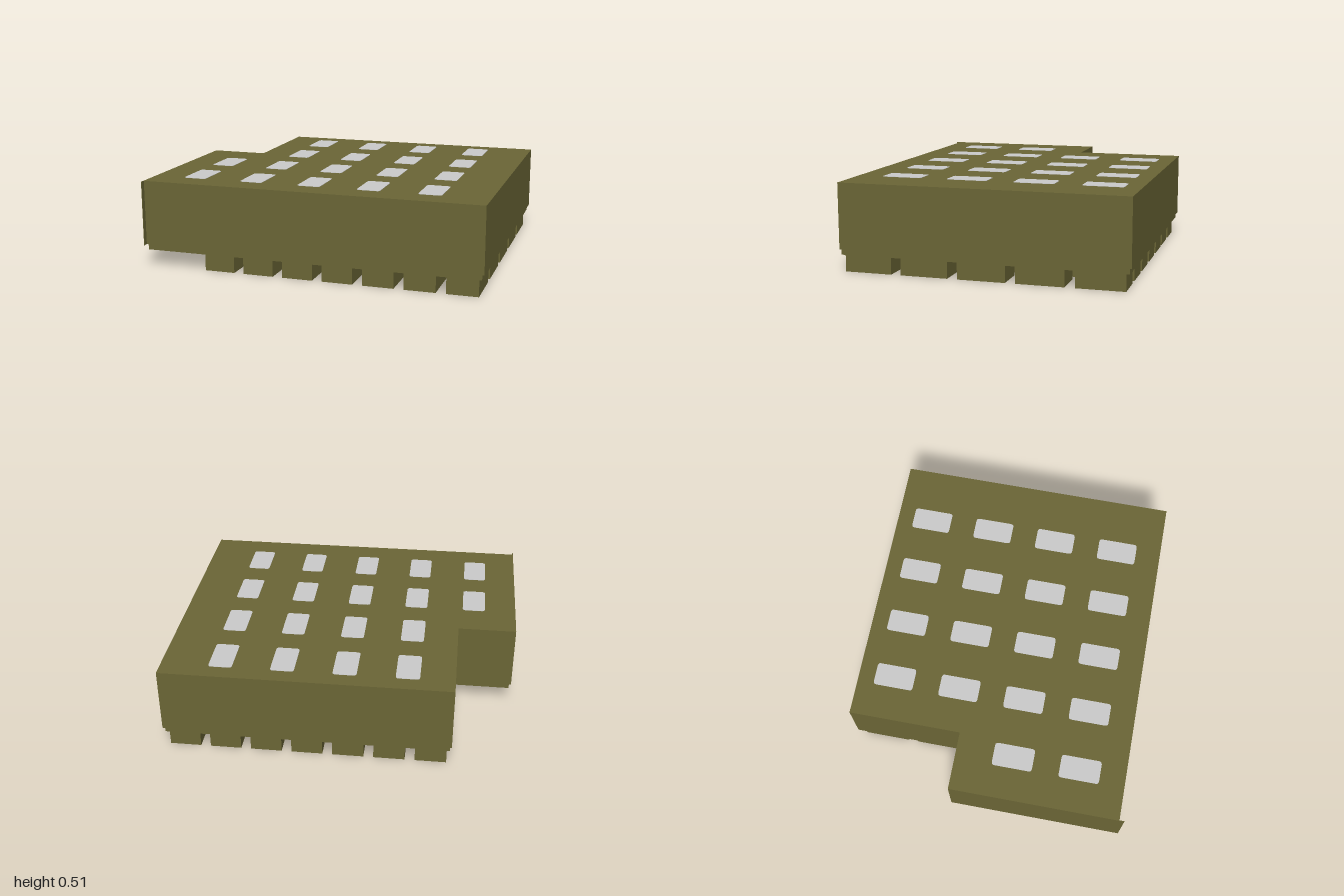
import * as THREE from 'three';

export function createModel() {
  const group = new THREE.Group();
  const material = (name, color) => Object.assign(new THREE.MeshStandardMaterial({ color }), { name });
  const olive = material('olive', 0x6b6636);
  const grey = material('light grey', 0xcccccc);
  const black = material('black', 0x080808);

  const add = (name, geometry, mat, x, y, z) => {
    const mesh = new THREE.Mesh(geometry, mat);
    mesh.name = name;
    mesh.position.set(x, y, z);
    group.add(mesh);
    return mesh;
  };

  // Lay an outline drawn in x and -z flat, with its base at y = 0
  const slab = (shape, depth) =>
    new THREE.ExtrudeGeometry(shape, { depth, bevelEnabled: false, curveSegments: 3 }).rotateX(-Math.PI / 2);

  // L-shaped outline with the back corner at -x cut away
  const outline = (x0, x1, back, front, notchX, notchZ) => new THREE.Shape([
    [x0, front], [x1, front], [x1, back], [notchX, back], [notchX, notchZ], [x0, notchZ],
  ].map(([x, z]) => new THREE.Vector2(x, -z)));

  // Main block and the slightly inset base plate
  add('body', slab(outline(-1, 1, -0.843, 0.815, -0.66, -0.18), 0.38), olive, 0, 0.132, 0);
  add('basePlate', slab(outline(-0.988, 0.988, -0.832, 0.81, -0.65, -0.17), 0.032), olive, 0, 0.1, 0);

  // Thin lip where the side wall runs past the front
  add('frontLip', new THREE.BoxGeometry(0.003, 0.38, 0.03), olive, -0.9985, 0.322, 0.828);

  // Grid of feet with dark undersides
  const foot = new THREE.BoxGeometry(0.18, 0.1, 0.275);
  const footMaterials = [olive, olive, olive, black, olive, olive];
  for (let col = 0; col < 7; col++) {
    for (let row = 0; row < 5; row++) {
      add('foot', foot, footMaterials, -0.543 + col * 0.2372, 0.05, 0.655 - row * 0.332);
    }
  }

  // Rounded panels on the top, skipping the cut-away corner
  const w = 0.0675, d = 0.118, r = 0.018;
  const panelShape = new THREE.Shape()
    .moveTo(-w + r, -d).lineTo(w - r, -d).quadraticCurveTo(w, -d, w, -d + r)
    .lineTo(w, d - r).quadraticCurveTo(w, d, w - r, d)
    .lineTo(-w + r, d).quadraticCurveTo(-w, d, -w, d - r)
    .lineTo(-w, -d + r).quadraticCurveTo(-w, -d, -w + r, -d);
  const panel = slab(panelShape, 0.003);
  for (let col = 0; col < 5; col++) {
    for (let row = 0; row < 4; row++) {
      if (col === 0 && row < 2) continue;
      add('topPanel', panel, grey, -0.747 + col * 0.352, 0.511, -0.628 + row * 0.392);
    }
  }

  return group;
}
